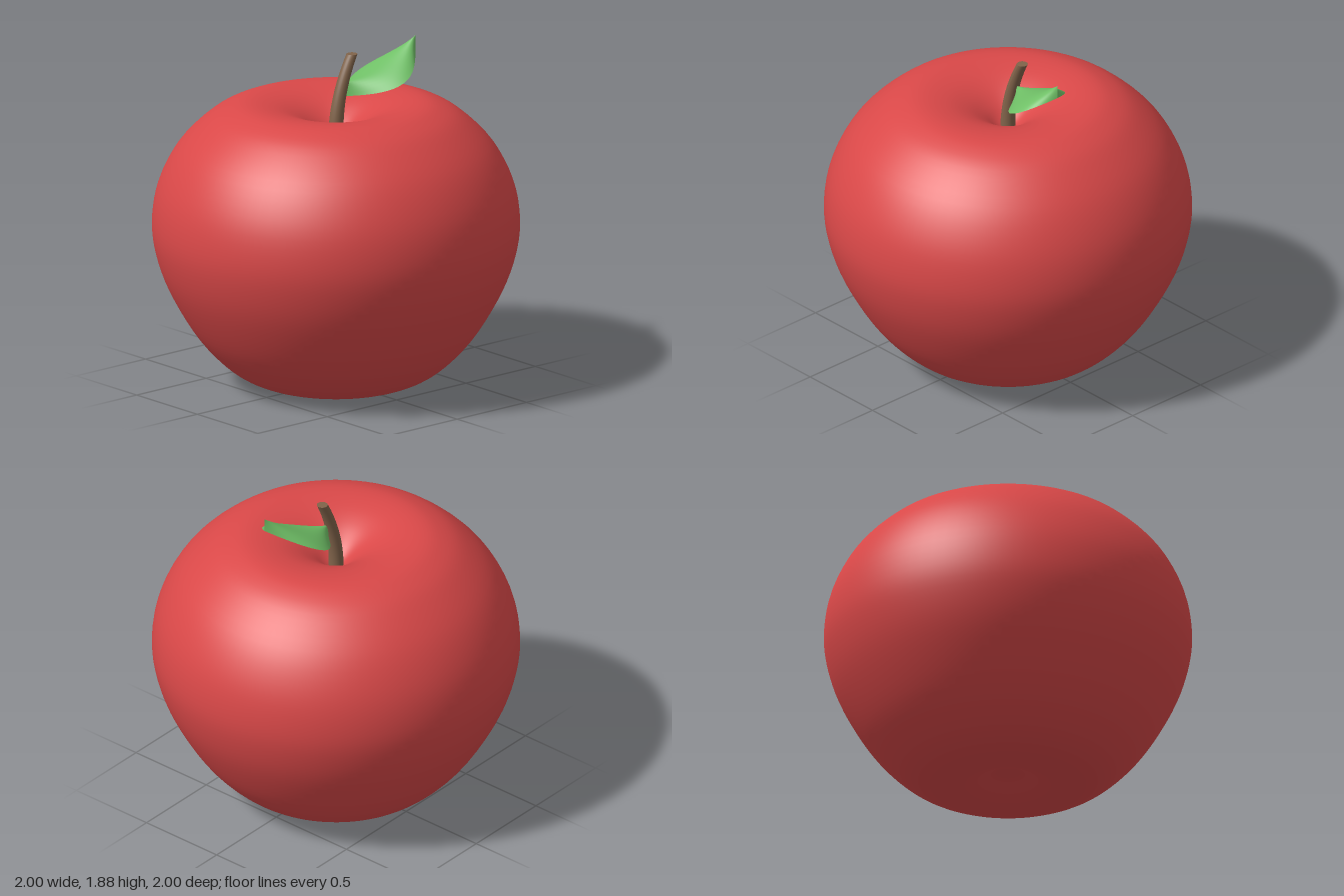
import * as THREE from 'three';

const red = new THREE.MeshStandardMaterial({ color: 0xd94848 });
red.name = 'apple red';
const brown = new THREE.MeshStandardMaterial({ color: 0x80634a });
brown.name = 'stem brown';
const green = new THREE.MeshStandardMaterial({ color: 0x6fbf66, side: THREE.DoubleSide });
green.name = 'leaf green';

function part(name, geometry, material) {
  const mesh = new THREE.Mesh(geometry, material);
  mesh.name = name;
  return mesh;
}

// Fruit: turned profile from the lower hollow to the upper hollow
function bodyGeometry() {
  const profile = [
    [0, 0.1], [0.08, 0.085], [0.18, 0.035], [0.3, 0.004], [0.45, 0.03], [0.6, 0.115],
    [0.76, 0.285], [0.9, 0.52], [0.975, 0.72], [1, 0.91], [0.965, 1.12], [0.86, 1.325],
    [0.7, 1.485], [0.57, 1.555], [0.46, 1.575], [0.33, 1.558], [0.22, 1.518],
    [0.13, 1.463], [0.06, 1.405], [0, 1.37],
  ].map(([r, y]) => new THREE.Vector2(r, y));
  const points = new THREE.SplineCurve(profile).getPoints(80);
  points.forEach((p) => { p.x = Math.max(p.x, 0); });
  return new THREE.LatheGeometry(points, 96);
}

// Stem: tapered cylinder bent towards +x
function stemGeometry() {
  const base = 1.37, top = 1.83, height = top - base;
  const geometry = new THREE.CylinderGeometry(0.03, 0.042, height, 24, 16);
  geometry.translate(0, base + height / 2, 0);
  const pos = geometry.attributes.position;
  for (let i = 0; i < pos.count; i++) {
    const h = Math.max(pos.getY(i) - 1.4, 0);
    pos.setX(i, pos.getX(i) + 0.622 * h * h);
  }
  geometry.computeVertexNormals();
  return geometry;
}

// Leaf: pointed sheet, rising to its tip, with both sides drooping from the midrib
function leafGeometry() {
  const geometry = new THREE.PlaneGeometry(1, 2, 32, 16);
  const pos = geometry.attributes.position;
  for (let i = 0; i < pos.count; i++) {
    const t = pos.getX(i) + 0.5;
    const v = -pos.getY(i);
    pos.setXYZ(
      i,
      0.065 + 0.43 * t,
      1.675 + 0.09 * t + 0.12 * t * t - 0.075 * v * v,
      0.09 * t + 0.182 * Math.sin(Math.PI * t) * v,
    );
  }
  geometry.computeVertexNormals();
  return geometry;
}

export function createModel() {
  const apple = new THREE.Group();
  apple.name = 'apple';
  apple.add(
    part('body', bodyGeometry(), red),
    part('stem', stemGeometry(), brown),
    part('leaf', leafGeometry(), green),
  );
  return apple;
}
